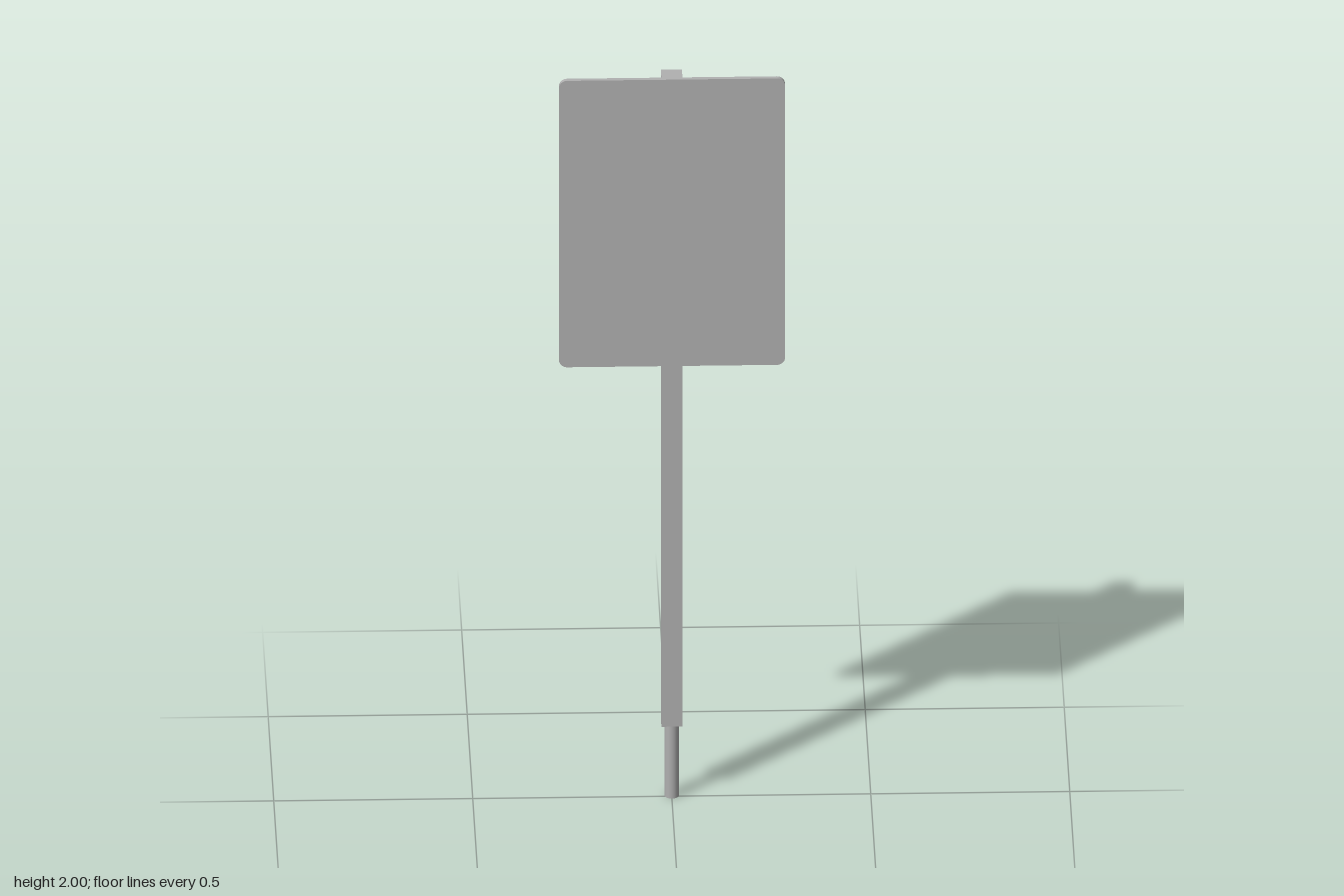
import * as THREE from 'three';

export function createModel() {
  const group = new THREE.Group();
  const grey = new THREE.MeshStandardMaterial({ color: 0xb0b0b0 });
  grey.name = 'grey';

  const add = (name, geometry, x, y, z) => {
    const mesh = new THREE.Mesh(geometry, grey);
    mesh.name = name;
    mesh.position.set(x, y, z);
    group.add(mesh);
  };

  // Flat panel with rounded corners
  const w = 0.284, h = 0.397, r = 0.02;
  const outline = new THREE.Shape();
  outline.absarc(w - r, h - r, r, 0, Math.PI / 2);
  outline.absarc(-w + r, h - r, r, Math.PI / 2, Math.PI);
  outline.absarc(-w + r, -h + r, r, Math.PI, Math.PI * 1.5);
  outline.absarc(w - r, -h + r, r, Math.PI * 1.5, Math.PI * 2);
  outline.closePath();
  const panel = new THREE.ExtrudeGeometry(outline, {
    depth: 0.013, bevelEnabled: false, curveSegments: 6,
  });
  add('panel', panel, 0, 1.603, 0.016);

  // Square post behind the panel
  add('post', new THREE.BoxGeometry(0.053, 1.797, 0.053), 0, 1.1015, -0.0045);

  // Round peg at the foot
  add('peg', new THREE.CylinderGeometry(0.0185, 0.0185, 0.205, 16), 0, 0.1025, -0.0045);

  return group;
}
